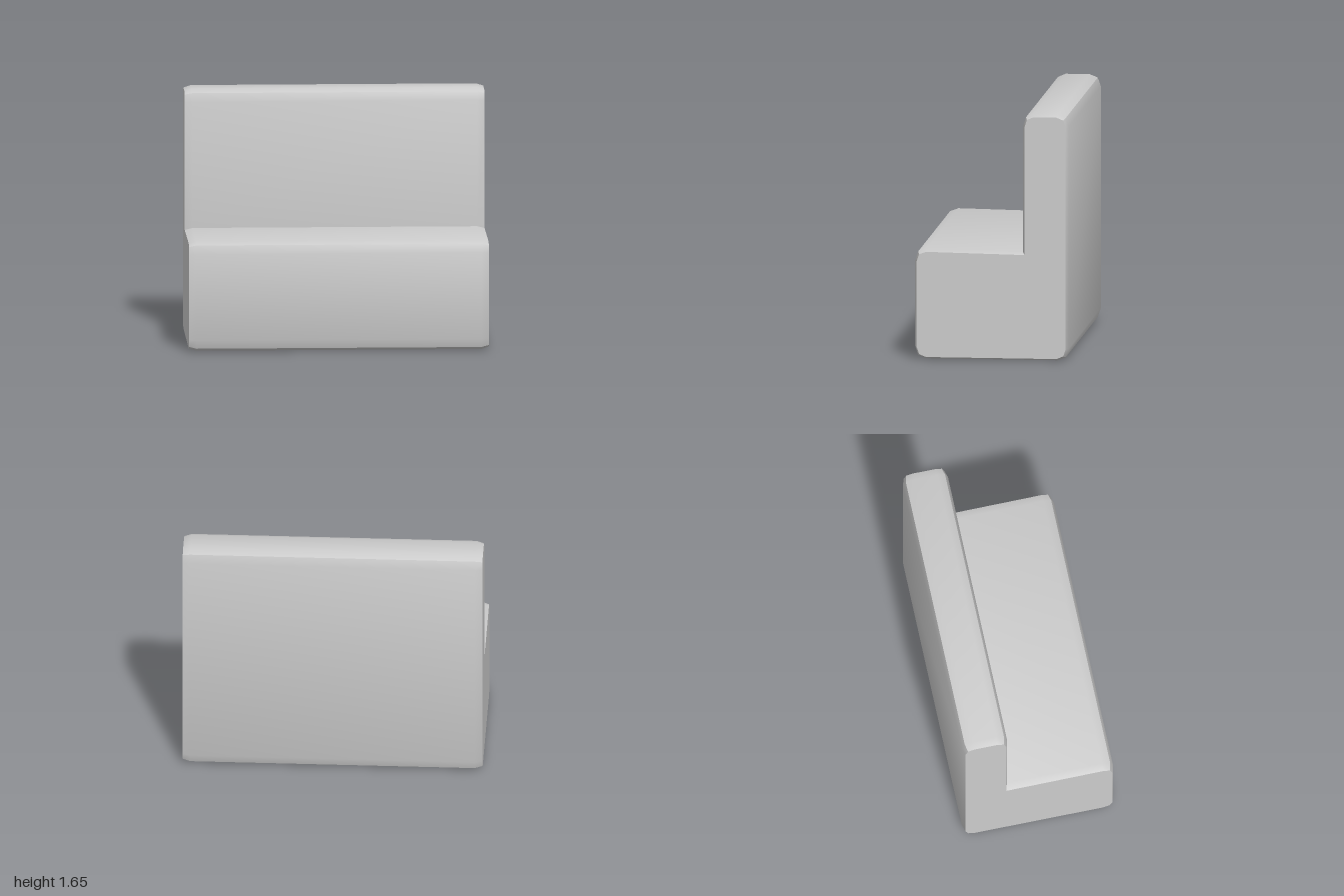
import * as THREE from 'three';
import { toCreasedNormals } from 'three/addons/utils/BufferGeometryUtils.js';

const WIDTH = 2;
const END_BEVEL = 0.05; // length of the taper at each end
const END_INSET = 0.015; // how far the taper draws the profile in

export function createModel() {
  const group = new THREE.Group();
  group.name = 'bench';

  // Side profile as (z, y): seat block and tall backrest with softened corners
  const profile = [
    [0.44, 0], [0.495, 0.022], [0.515, 0.08], // bottom front
    [0.515, 0.66], [0.495, 0.718], [0.44, 0.738], // seat front
    [-0.208, 0.727], // seat meets backrest
    [-0.208, 1.575], [-0.228, 1.633], [-0.28, 1.655], // backrest top front
    [-0.44, 1.655], [-0.495, 1.633], [-0.515, 1.575], // backrest top rear
    [-0.515, 0.08], [-0.495, 0.022], [-0.44, 0], // bottom rear
  ];
  const shape = new THREE.Shape(profile.map(([z, y]) => new THREE.Vector2(z, y)));

  // Sweep the profile across the width, tapering slightly at both ends
  const depth = WIDTH - 2 * END_BEVEL;
  const geometry = new THREE.ExtrudeGeometry(shape, {
    depth,
    bevelEnabled: true,
    bevelThickness: END_BEVEL,
    bevelSize: END_INSET,
    bevelOffset: -END_INSET,
    bevelSegments: 1,
  });
  geometry.translate(0, 0, -depth / 2);
  geometry.rotateY(-Math.PI / 2);

  const body = new THREE.Mesh(
    toCreasedNormals(geometry, 0.6),
    new THREE.MeshStandardMaterial({ color: 0xcccccc })
  );
  body.name = 'seatAndBackrest';
  group.add(body);
  return group;
}
